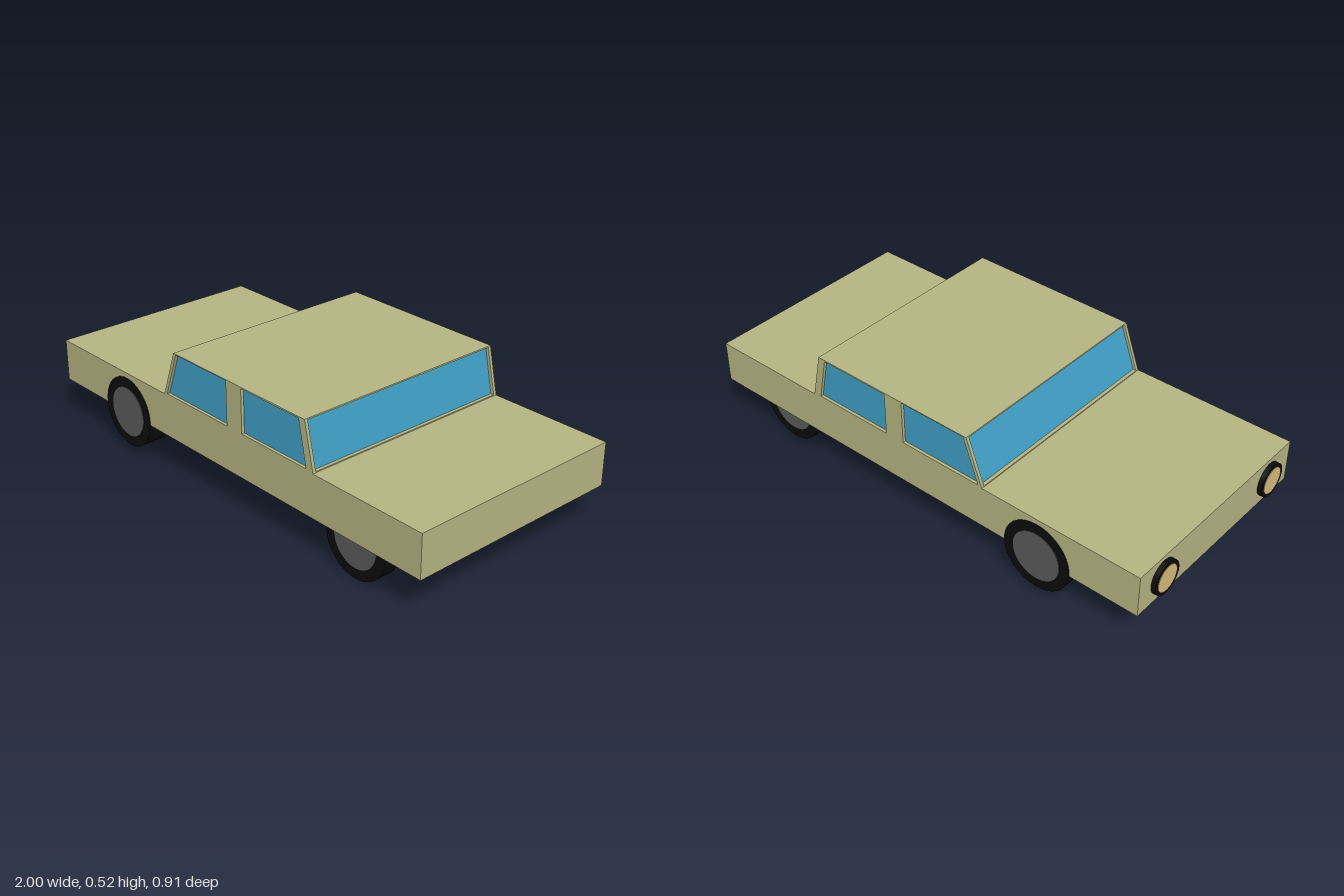
import * as THREE from 'three';

const mat = (color) => new THREE.MeshStandardMaterial({ color });

function add(parent, name, geometry, material, x = 0, y = 0, z = 0) {
  const mesh = new THREE.Mesh(geometry, material);
  mesh.name = name;
  mesh.position.set(x, y, z);
  parent.add(mesh);
  return mesh;
}

const points = (list) => list.map(([x, y]) => new THREE.Vector2(x, y));

// Extrudes a side outline (x, y) from z0 to z1, with optional holes
function extrude(outline, z0, z1, holes = []) {
  const shape = new THREE.Shape(points(outline));
  holes.forEach((h) => shape.holes.push(new THREE.Path(points(h))));
  return new THREE.ExtrudeGeometry(shape, { depth: z1 - z0, bevelEnabled: false }).translate(0, 0, z0);
}

export function createModel() {
  const car = new THREE.Group();
  car.name = 'car';
  const paint = mat(0xb5b482);
  const glass = mat(0x3f9fc5);
  const rubber = mat(0x0c0c0c);
  const metal = mat(0x5a5a5a);
  const lensMat = mat(0xd8bd78);

  // Lower body
  add(car, 'body', new THREE.BoxGeometry(1.98, 0.17, 0.9), paint, 0.01, 0.247, 0);

  // Cabin: glass core, side frames with window openings, roof
  const cabin = new THREE.Group();
  cabin.name = 'cabin';
  car.add(cabin);
  const core = [[-0.308, 0.325], [0.489, 0.325], [0.449, 0.512], [-0.239, 0.512]];
  add(cabin, 'windows', extrude(core, -0.438, 0.438), glass);

  const frame = [[-0.318, 0.33], [0.502, 0.33], [0.46, 0.517], [-0.25, 0.517]];
  const openings = [
    [[-0.3, 0.338], [0.05, 0.338], [0.05, 0.513], [-0.236, 0.513]],
    [[0.132, 0.338], [0.467, 0.338], [0.43, 0.511], [0.132, 0.511]],
  ];
  add(cabin, 'leftSideFrame', extrude(frame, 0.437, 0.45, openings), paint);
  add(cabin, 'rightSideFrame', extrude(frame, -0.45, -0.437, openings), paint);
  add(cabin, 'roof', new THREE.BoxGeometry(0.71, 0.006, 0.88), paint, 0.105, 0.514, 0);
  for (const [name, x] of [['windscreenSill', -0.311], ['rearWindowSill', 0.493]])
    add(cabin, name, new THREE.BoxGeometry(0.014, 0.006, 0.88), paint, x, 0.333, 0);

  // Wheels: name, x, y, side, inner and outer distance from the centre line
  const wheels = [
    ['frontWheelA', -0.56, 0.17, 1, 0.35, 0.452],
    ['frontWheelB', -0.56, 0.17, -1, 0.35, 0.452],
    ['rearWheelA', 0.675, 0.141, 1, 0.352, 0.42],
    ['rearWheelB', 0.675, 0.17, -1, 0.352, 0.42],
  ];
  for (const [name, x, y, side, inner, outer] of wheels) {
    const wheel = new THREE.Group();
    wheel.name = name;
    wheel.position.set(x, y, 0);
    car.add(wheel);
    const tyre = new THREE.CylinderGeometry(0.141, 0.141, outer - inner, 40).rotateX(Math.PI / 2);
    add(wheel, 'tyre', tyre, rubber, 0, 0, (side * (inner + outer)) / 2);
    const hub = new THREE.CylinderGeometry(0.1, 0.1, 0.01, 40).rotateX(Math.PI / 2);
    add(wheel, 'hubcap', hub, metal, 0, 0, side * (outer - 0.003));
  }

  // Headlights on the nose
  for (const side of [1, -1]) {
    const light = new THREE.Group();
    light.name = 'headlight';
    light.position.set(-0.985, 0.247, side * 0.318);
    car.add(light);
    add(light, 'rim', new THREE.CylinderGeometry(0.067, 0.067, 0.026, 32).rotateZ(Math.PI / 2), rubber);
    add(light, 'lens', new THREE.CylinderGeometry(0.053, 0.053, 0.028, 32).rotateZ(Math.PI / 2), lensMat, -0.001);
  }
  return car;
}
